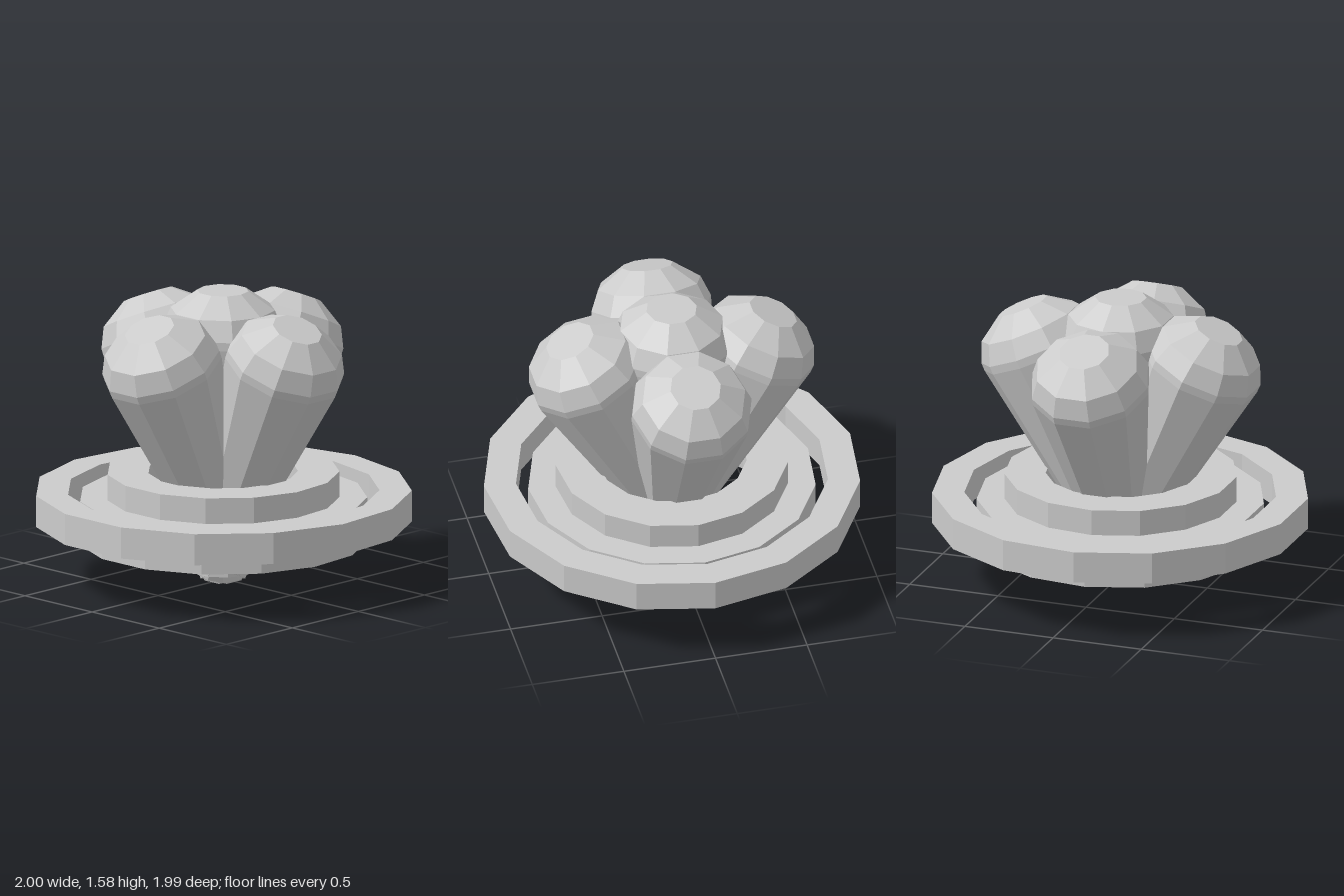
import * as THREE from 'three';

const material = new THREE.MeshStandardMaterial({ color: 0xcccccc, flatShading: true });
const TILT = THREE.MathUtils.degToRad(24);
const PIVOT = 0.22; // height where all the bulb axes meet

// Closed ring with a rectangular section, turned in 15 sides
function ring(name, inner, outer, bottom, top) {
  const profile = [
    [inner, bottom], [outer, bottom], [outer, top], [inner, top], [inner, bottom],
  ].map(([r, y]) => new THREE.Vector2(r, y));
  const mesh = new THREE.Mesh(new THREE.LatheGeometry(profile, 15, Math.PI), material);
  mesh.name = name;
  return mesh;
}

// Ten-sided bulb on a tapering neck, heights measured from the pivot
const bulbProfile = [
  [0, -0.165], [0.175, -0.165], [0.178, 0.24], [0.326, 1.11],
  [0.326, 1.155], [0.28, 1.265], [0.137, 1.365], [0, 1.365],
].map(([r, y]) => new THREE.Vector2(r, y));
const bulbGeometry = new THREE.LatheGeometry(bulbProfile, 10, Math.PI / 2);

function bulb(name, tilt, turn) {
  const mesh = new THREE.Mesh(bulbGeometry, material);
  mesh.name = name;
  mesh.rotation.set(tilt, turn, 0, 'YXZ');
  mesh.position.y = PIVOT;
  return mesh;
}

export function createModel() {
  const model = new THREE.Group();
  model.name = 'bulbCluster';

  // Stepped rings around the necks
  model.add(
    ring('outerRing', 0.833, 1.005, 0.33, 0.5),
    ring('lowerRing', 0.55, 0.768, 0.22, 0.46),
    ring('upperRing', 0.4, 0.62, 0.46, 0.6),
  );

  // One upright bulb and four leaning outward
  model.add(bulb('centreBulb', 0, 0));
  ['frontBulb', 'leftBulb', 'backBulb', 'rightBulb'].forEach((name, i) => {
    model.add(bulb(name, TILT, (i * Math.PI) / 2));
  });

  // Centre the odd-sided rings in depth
  model.children.forEach((part) => { part.position.z = 0.01; });
  return model;
}
